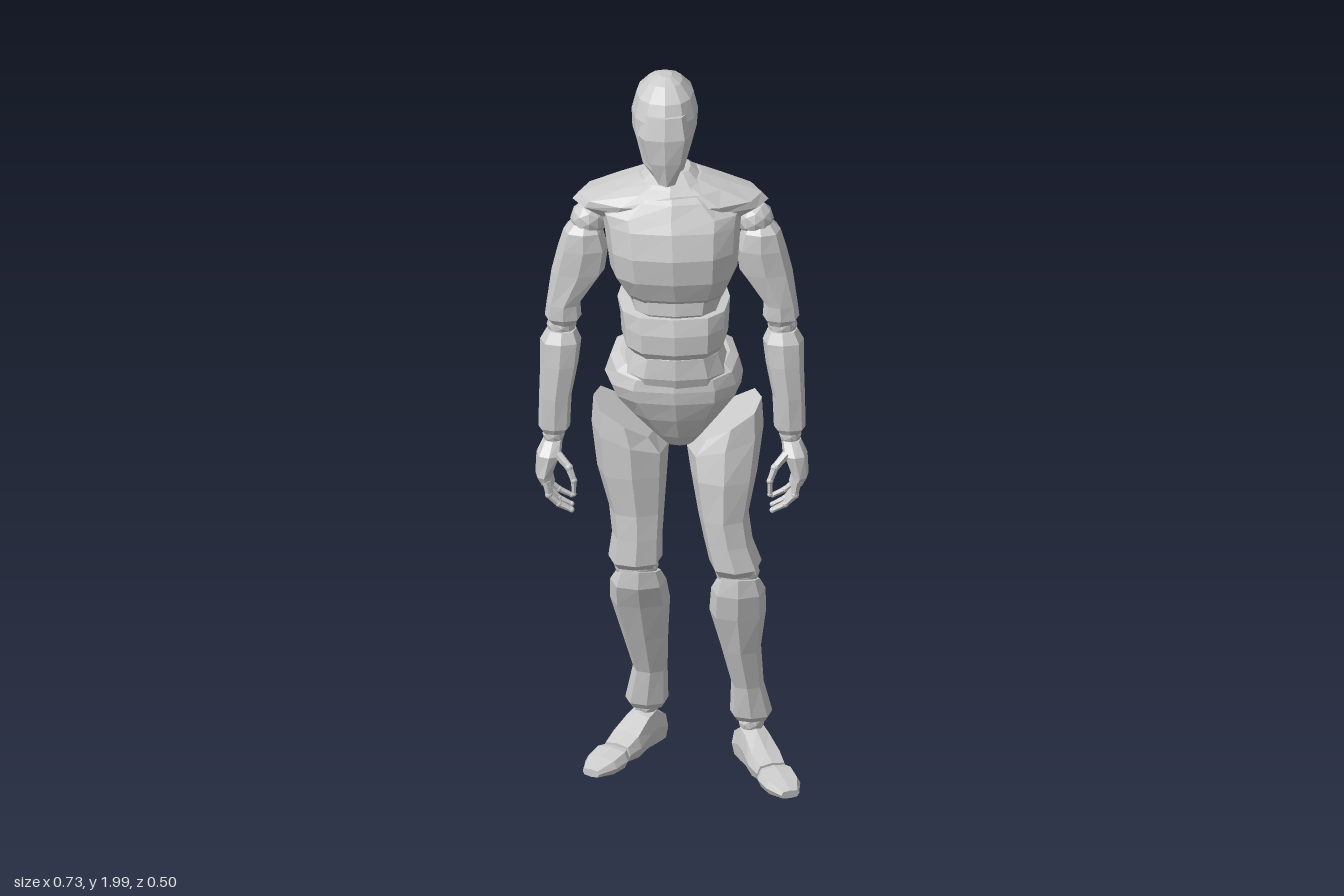
import * as THREE from 'three';

const material = new THREE.MeshStandardMaterial({ color: 0xcccccc, flatShading: true });

function addMesh(parent, name, geometry) {
  const flat = geometry.index ? geometry.toNonIndexed() : geometry;
  flat.computeVertexNormals();
  const mesh = new THREE.Mesh(flat, material);
  mesh.name = name;
  parent.add(mesh);
  return mesh;
}

// Loft through rounded-box rings, listed bottom to top.
// Ring: [y, xMin, xMax, zMin, zMax, dropTowardFront, riseTowardX]
function loft(rings, sides = 8, squareness = 0.75) {
  const pos = [], index = [];
  const bend = v => Math.sign(v) * Math.pow(Math.abs(v) < 1e-6 ? 0 : Math.abs(v), squareness);
  for (const [y, x0, x1, z0, z1, drop = 0, rise = 0] of rings) {
    for (let i = 0; i < sides; i++) {
      const a = (i / sides) * Math.PI * 2;
      const dx = bend(Math.cos(a)) * (x1 - x0) / 2;
      const dz = bend(Math.sin(a)) * (z1 - z0) / 2;
      pos.push((x0 + x1) / 2 + dx, y - drop * dz + rise * dx, (z0 + z1) / 2 + dz);
    }
  }
  for (let r = 0; r < rings.length - 1; r++) {
    for (let i = 0; i < sides; i++) {
      const a = r * sides + i, b = r * sides + (i + 1) % sides;
      index.push(a, a + sides, b, b, a + sides, b + sides);
    }
  }
  // End caps
  const top = (rings.length - 1) * sides, c = rings.length * sides;
  for (const r of [rings[0], rings[rings.length - 1]]) {
    pos.push((r[1] + r[2]) / 2, r[0], (r[3] + r[4]) / 2);
  }
  for (let i = 0; i < sides; i++) {
    const j = (i + 1) % sides;
    index.push(c, i, j, c + 1, top + j, top + i);
  }
  const g = new THREE.BufferGeometry();
  g.setAttribute('position', new THREE.Float32BufferAttribute(pos, 3));
  g.setIndex(index);
  return g;
}

// Loft running forward along z. Ring: [z, halfWidth, yMin, yMax]
const forwardLoft = rings =>
  loft(rings.map(([z, w, y0, y1]) => [z, -w, w, -y1, -y0]), 8, 0.65).rotateX(Math.PI / 2);

function ball(parent, name, x, y, z, r) {
  addMesh(parent, name, new THREE.IcosahedronGeometry(r, 1)).position.set(x, y, z);
}

// Tapered rod between two points
function bone(parent, name, p, q, r0, r1) {
  const a = new THREE.Vector3(...p), b = new THREE.Vector3(...q), d = b.clone().sub(a);
  const mesh = addMesh(parent, name, new THREE.CylinderGeometry(r1, r0, d.length(), 6));
  mesh.position.copy(a).add(b).multiplyScalar(0.5);
  mesh.quaternion.setFromUnitVectors(new THREE.Vector3(0, 1, 0), d.normalize());
}

function buildHead(g) {
  addMesh(g, 'head', loft([
    [1.745, -0.05, 0.018, -0.10, 0.08, 0.25], [1.785, -0.085, 0.045, -0.145, 0.088, 0.15],
    [1.85, -0.106, 0.066, -0.175, 0.088], [1.90, -0.108, 0.07, -0.172, 0.08],
    [1.95, -0.095, 0.058, -0.15, 0.058], [1.985, -0.065, 0.028, -0.105, 0.015],
    [2.0, -0.035, 0, -0.065, -0.02]], 12, 0.85));
  addMesh(g, 'facePlate', loft([
    [1.735, -0.042, 0.016, 0.0, 0.085, 0.25], [1.79, -0.072, 0.036, 0.0, 0.095],
    [1.86, -0.09, 0.052, 0.0, 0.096], [1.92, -0.075, 0.04, 0.0, 0.08]], 8, 0.8));
  addMesh(g, 'neck', loft([
    [1.66, -0.075, 0.055, -0.16, -0.01], [1.695, -0.06, 0.045, -0.145, -0.025],
    [1.71, -0.05, 0.035, -0.13, -0.035], [1.79, -0.05, 0.03, -0.13, -0.03]], 12, 0.9));
}

function buildTorso(g) {
  addMesh(g, 'chest', loft([
    [1.345, -0.10, 0.12, -0.15, 0.03, 0.1], [1.385, -0.13, 0.15, -0.185, 0.075],
    [1.44, -0.165, 0.175, -0.195, 0.095], [1.51, -0.175, 0.18, -0.205, 0.10],
    [1.58, -0.185, 0.185, -0.212, 0.08], [1.61, -0.195, 0.19, -0.21, 0.062],
    [1.65, -0.13, 0.13, -0.20, 0.04], [1.69, -0.085, 0.075, -0.18, 0.0],
    [1.712, -0.06, 0.05, -0.15, -0.035]], 12, 0.72));
  // Flared shoulder mantle
  addMesh(g, 'shoulderMantle', loft([
    [1.59, -0.215, 0.21, -0.20, 0.02], [1.617, -0.266, 0.258, -0.205, 0.03],
    [1.637, -0.25, 0.24, -0.213, 0.04], [1.668, -0.16, 0.15, -0.205, 0.025],
    [1.692, -0.09, 0.08, -0.18, -0.005]], 12, 0.9));
  addMesh(g, 'ribBand', loft([
    [1.30, -0.08, 0.10, -0.14, 0.05], [1.34, -0.11, 0.13, -0.16, 0.07],
    [1.39, -0.12, 0.14, -0.17, 0.065]], 12));
  addMesh(g, 'upperAbdomen', loft([
    [1.215, -0.10, 0.12, -0.17, 0.07, 0.12], [1.25, -0.135, 0.15, -0.20, 0.088, 0.12],
    [1.30, -0.138, 0.153, -0.20, 0.088, 0.1], [1.345, -0.146, 0.155, -0.195, 0.075, 0.1],
    [1.35, -0.11, 0.12, -0.16, 0.045, 0.1]], 12, 0.7));
  addMesh(g, 'waist', loft([
    [1.11, -0.12, 0.145, -0.18, 0.07], [1.16, -0.135, 0.155, -0.195, 0.085],
    [1.215, -0.115, 0.135, -0.19, 0.08], [1.25, -0.10, 0.12, -0.17, 0.06]], 12));
  addMesh(g, 'pelvis', loft([
    [0.935, -0.02, 0.06, -0.12, 0.0], [0.97, -0.055, 0.09, -0.175, 0.03],
    [1.03, -0.115, 0.14, -0.22, 0.06], [1.085, -0.165, 0.185, -0.243, 0.078],
    [1.12, -0.18, 0.19, -0.24, 0.08], [1.17, -0.165, 0.178, -0.215, 0.075, 0.15],
    [1.185, -0.14, 0.155, -0.18, 0.05, 0.15]], 12));
}

function buildFoot(g, side, x, z, yaw) {
  const foot = new THREE.Group();
  foot.name = side + 'Foot';
  foot.position.set(x, 0, z);
  foot.rotation.y = yaw;
  g.add(foot);
  addMesh(foot, 'instep', forwardLoft([
    [-0.07, 0.022, 0.02, 0.07], [-0.05, 0.036, 0.01, 0.095], [0.0, 0.04, 0.008, 0.13],
    [0.04, 0.042, 0.012, 0.118], [0.10, 0.05, 0.01, 0.085], [0.145, 0.044, 0.015, 0.066]]));
  addMesh(foot, 'toeCap', forwardLoft([
    [0.15, 0.044, 0.014, 0.062], [0.17, 0.053, 0.008, 0.064],
    [0.22, 0.05, 0.008, 0.054], [0.27, 0.026, 0.014, 0.036]]));
  ball(foot, 'ankle', 0, 0.13, 0, 0.035);
}

function buildLegs(g) {
  // Left leg, standing forward
  addMesh(g, 'leftThigh', loft([
    [0.585, 0.115, 0.22, -0.05, 0.11, -0.1], [0.615, 0.10, 0.24, -0.07, 0.13],
    [0.68, 0.085, 0.215, -0.07, 0.12], [0.75, 0.07, 0.205, -0.09, 0.113],
    [0.86, 0.05, 0.228, -0.135, 0.105], [0.95, 0.04, 0.245, -0.16, 0.085, 0, 0.3],
    [1.01, 0.075, 0.24, -0.15, 0.07, 0, 0.6]]));
  ball(g, 'leftKnee', 0.175, 0.585, 0.035, 0.06);
  addMesh(g, 'leftShin', loft([
    [0.145, 0.165, 0.26, -0.065, 0.04], [0.16, 0.155, 0.268, -0.075, 0.052],
    [0.25, 0.158, 0.245, -0.062, 0.06], [0.36, 0.13, 0.238, -0.065, 0.085],
    [0.47, 0.10, 0.252, -0.06, 0.11], [0.54, 0.105, 0.25, -0.04, 0.123],
    [0.57, 0.12, 0.235, -0.02, 0.118, -0.3]]));
  buildFoot(g, 'left', 0.212, -0.005, 0.4);
  // Right leg, set back
  addMesh(g, 'rightThigh', loft([
    [0.585, -0.155, -0.04, -0.08, 0.05, -0.1], [0.61, -0.17, -0.025, -0.095, 0.07],
    [0.68, -0.16, -0.025, -0.09, 0.065], [0.75, -0.168, -0.02, -0.12, 0.06],
    [0.86, -0.20, -0.012, -0.16, 0.065], [0.95, -0.215, -0.008, -0.185, 0.065, 0, -0.3],
    [1.01, -0.21, -0.045, -0.165, 0.055, 0, -0.6]]));
  ball(g, 'rightKnee', -0.095, 0.58, -0.02, 0.06);
  addMesh(g, 'rightShin', loft([
    [0.135, -0.115, -0.018, -0.175, -0.07], [0.15, -0.125, -0.01, -0.185, -0.06],
    [0.25, -0.105, -0.012, -0.158, -0.048], [0.36, -0.135, -0.01, -0.145, -0.012],
    [0.47, -0.165, -0.005, -0.13, 0.025], [0.535, -0.165, -0.015, -0.11, 0.052],
    [0.565, -0.148, -0.03, -0.085, 0.05, -0.3]]));
  buildFoot(g, 'right', -0.068, -0.122, -0.58);
}

function buildArm(g, side, s) {
  const arm = new THREE.Group();
  arm.name = side + 'Arm';
  g.add(arm);
  // Mirror a ring written for the +x side
  const part = (name, rings) => addMesh(arm, name, loft(rings.map(([y, a, b, z0, z1, d = 0, r = 0]) =>
    [y, s > 0 ? a : -b, s > 0 ? b : -a, z0, z1, d, s * r])));
  ball(arm, 'shoulder', s * 0.222, 1.56, -0.09, 0.05);
  part('upperArm', [
    [1.262, 0.255, 0.32, -0.12, -0.04], [1.28, 0.242, 0.34, -0.135, -0.03],
    [1.32, 0.245, 0.335, -0.138, -0.03], [1.41, 0.18, 0.322, -0.155, -0.028],
    [1.48, 0.17, 0.305, -0.155, -0.025], [1.53, 0.185, 0.29, -0.145, -0.03],
    [1.55, 0.20, 0.27, -0.125, -0.05]]);
  ball(arm, 'elbow', s * 0.295, 1.255, -0.08, 0.04);
  part('forearm', [
    [0.955, 0.285, 0.345, -0.085, -0.02], [0.97, 0.272, 0.357, -0.095, -0.012],
    [1.06, 0.268, 0.355, -0.11, -0.01], [1.15, 0.25, 0.352, -0.128, -0.012],
    [1.215, 0.242, 0.352, -0.135, -0.018], [1.245, 0.255, 0.335, -0.12, -0.035]]);
  ball(arm, 'wrist', s * 0.316, 0.948, -0.05, 0.03);
  part('palm', [
    [0.815, 0.312, 0.352, -0.09, 0.005], [0.84, 0.318, 0.365, -0.1, 0.012],
    [0.90, 0.295, 0.362, -0.092, 0.01], [0.935, 0.292, 0.345, -0.078, -0.02]]);
  // Curled digits: base, two joints and tip
  const digit = (name, points) => {
    for (let i = 0; i < 3; i++) {
      const r = 0.0125 - 0.002 * i;
      bone(arm, name, points[i], points[i + 1], r, r - 0.002);
      ball(arm, name + 'Joint', ...points[i + 1], r - 0.001);
    }
  };
  for (let i = 0; i < 4; i++) {
    const z = -0.003 - i * 0.026, drop = [0.01, 0, 0.004, 0.018][i];
    digit('finger', [[s * 0.335, 0.83, z], [s * 0.328, 0.785 + drop / 2, z],
      [s * 0.302, 0.753 + drop, z * 1.04], [s * 0.268, 0.735 + drop, z * 1.06]]);
  }
  digit('thumb', [[s * 0.305, 0.905, -0.01], [s * 0.275, 0.875, 0.01],
    [s * 0.262, 0.84, 0.018], [s * 0.262, 0.80, 0.016]]);
}

export function createModel() {
  const model = new THREE.Group();
  model.name = 'armouredMannequin';
  buildHead(model);
  buildTorso(model);
  buildLegs(model);
  buildArm(model, 'left', 1);
  buildArm(model, 'right', -1);
  return model;
}
